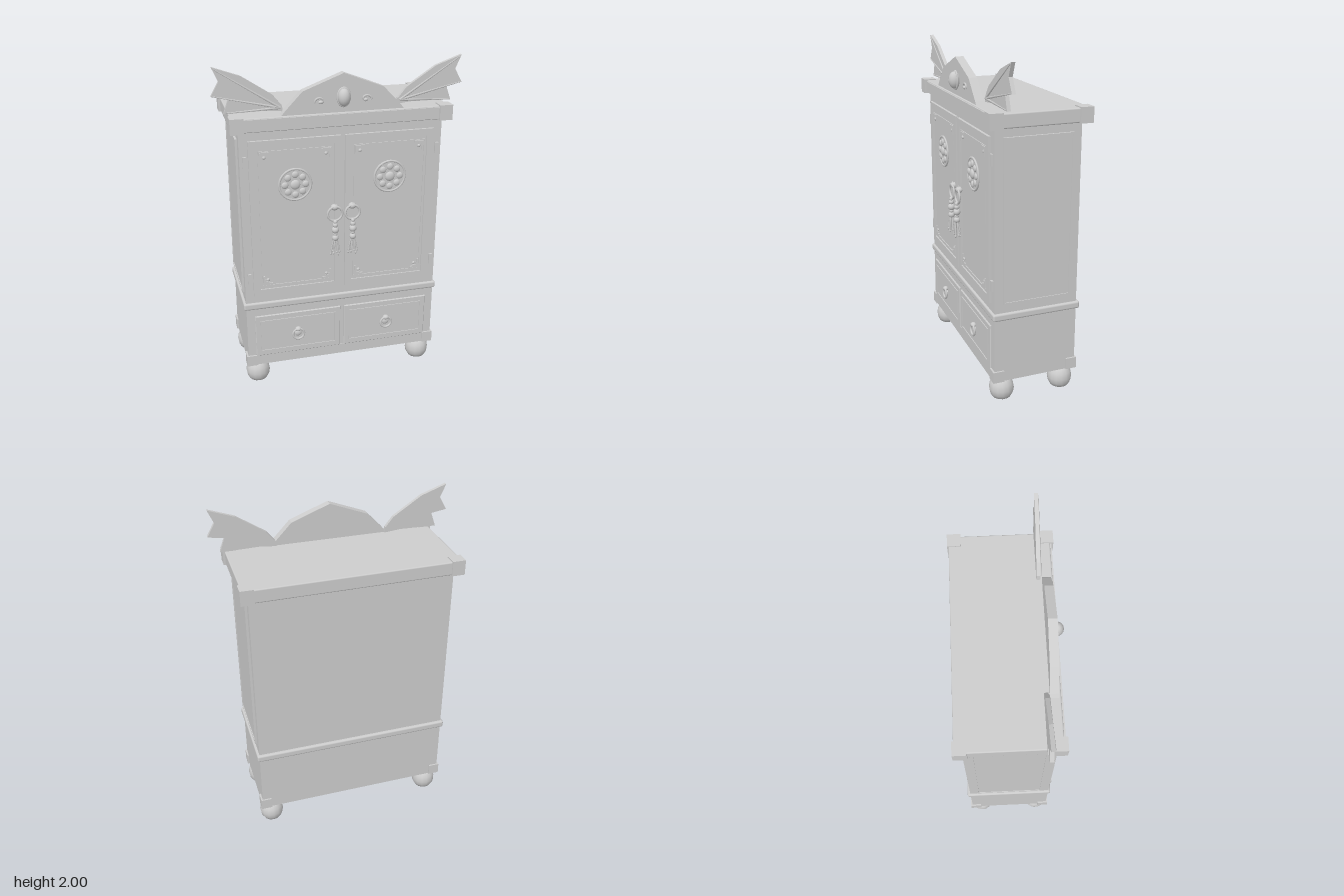
import * as THREE from 'three';
import { RoundedBoxGeometry } from 'three/addons/geometries/RoundedBoxGeometry.js';

export function createModel() {
  const root = new THREE.Group();
  root.name = 'wardrobe';
  const grey = new THREE.MeshStandardMaterial({ color: 0xcccccc });
  grey.name = 'pale grey';

  const add = (name, geo, x = 0, y = 0, z = 0) => {
    const m = new THREE.Mesh(geo, grey);
    m.name = name;
    m.position.set(x, y, z);
    root.add(m);
    return m;
  };
  // Box given by its limits on each axis; r rounds the edges
  const box = (name, x0, x1, y0, y1, z0, z1, r = 0) => {
    const s = [x1 - x0, y1 - y0, z1 - z0];
    const g = r ? new RoundedBoxGeometry(...s, 2, r) : new THREE.BoxGeometry(...s);
    return add(name, g, (x0 + x1) / 2, (y0 + y1) / 2, (z0 + z1) / 2);
  };
  const poly = pts => pts.map(p => new THREE.Vector2(p[0], p[1]));
  const rect = (w, h) => [[-w / 2, -h / 2], [w / 2, -h / 2], [w / 2, h / 2], [-w / 2, h / 2]];
  const slab = (pts, depth, hole, bevel = 0) => {
    const s = new THREE.Shape(poly(pts));
    if (hole) s.holes.push(new THREE.Path(poly(hole)));
    return new THREE.ExtrudeGeometry(s, {
      depth: depth - bevel, bevelEnabled: bevel > 0, bevelThickness: bevel,
      bevelSize: bevel, bevelOffset: -bevel, bevelSegments: 1,
    });
  };
  const frame = (name, w, h, t, depth, x, y, z) =>
    add(name, slab(rect(w, h), depth, rect(w - 2 * t, h - 2 * t)), x, y, z);
  const ball = (name, r, x, y, z, sx = 1, sy = 1, sz = 1) => {
    const m = add(name, new THREE.SphereGeometry(r, 16, 10), x, y, z);
    m.scale.set(sx, sy, sz);
    return m;
  };

  // Carcass, mouldings and cornice
  box('carcass', -0.6, 0.6, 0.13, 1.65, -0.265, 0.247);
  box('waistMoulding', -0.615, 0.615, 0.525, 0.57, -0.283, 0.26, 0.012);
  box('cornice', -0.636, 0.636, 1.643, 1.725, -0.303, 0.272, 0.008);
  box('corniceFront', -0.57, 0.57, 1.65, 1.718, 0.265, 0.28);
  box('baseRail', -0.545, 0.545, 0.132, 0.195, 0.24, 0.252);

  for (const s of [-1, 1]) {
    // Corner blocks and feet
    for (const f of [-1, 1]) {
      add('corniceCorner', new THREE.BoxGeometry(0.078, 0.09, 0.078), s * 0.609, 1.686, f > 0 ? 0.252 : -0.272);
      add('baseCorner', new THREE.BoxGeometry(0.067, 0.07, 0.068), s * 0.577, 0.165, f > 0 ? 0.224 : -0.241);
      const foot = [[0, 0], [0.056, 0], [0.07, 0.025], [0.075, 0.055], [0.069, 0.09], [0.05, 0.117], [0.025, 0.13], [0, 0.132]];
      add('foot', new THREE.LatheGeometry(poly(foot), 14), s * 0.535, 0, f > 0 ? 0.18 : -0.2);
    }

    // Side panel with a raised border
    const panel = add('sidePanel', slab(rect(0.413, 0.965), 0.008), s * 0.6, 1.108, -0.01);
    panel.rotation.y = s * Math.PI / 2;
    const border = add('sidePanelBorder', slab(rect(0.413, 0.965), 0.013, rect(0.393, 0.945)), s * 0.6, 1.108, -0.01);
    border.rotation.y = s * Math.PI / 2;

    // Door with frame and inner beading
    const cx = s * 0.281, cy = 1.105;
    add('door', slab(rect(0.538, 0.97), 0.008), cx, cy, 0.247);
    frame('doorFrame', 0.538, 0.97, 0.042, 0.016, cx, cy, 0.247);
    frame('doorBeading', 0.432, 0.846, 0.005, 0.006, cx, cy, 0.254);

    // Door corner brackets and studs
    for (const a of [-1, 1]) for (const b of [-1, 1]) {
      const ell = [[0, 0], [0.056, 0], [0.056, 0.011], [0.035, 0.011], [0.035, 0.02], [0.016, 0.02],
        [0.016, 0.036], [0.01, 0.036], [0.01, 0.058], [0, 0.058]];
      add('cornerBracket', slab(ell.map(p => [-a * p[0], -b * p[1]]), 0.009), cx + a * 0.208, cy + b * 0.416, 0.254);
      ball('cornerStud', 0.01, cx + a * 0.18, cy + b * 0.384, 0.256, 1, 1, 0.7);
    }

    // Rosette
    const ry = 1.315;
    const disc = add('rosetteDisc', new THREE.CylinderGeometry(0.088, 0.09, 0.008, 32), s * 0.285, ry, 0.257);
    disc.rotation.x = Math.PI / 2;
    add('rosetteRim', new THREE.TorusGeometry(0.094, 0.007, 8, 36), s * 0.285, ry, 0.258);
    ball('rosetteCentre', 0.029, s * 0.285, ry, 0.262, 1, 1, 0.5);
    for (let i = 0; i < 8; i++) {
      const t = i * Math.PI / 4;
      ball('rosettePetal', 0.02, s * 0.285 + 0.061 * Math.cos(t), ry + 0.061 * Math.sin(t), 0.262, 1, 1, 0.5);
    }

    // Hinges
    for (const y of [1.467, 0.735]) box('hinge', s * 0.572 - 0.01, s * 0.572 + 0.01, y - 0.033, y + 0.033, 0.245, 0.259);

    // Door pull: ring, mount and tassel
    const hx = s * 0.054;
    add('pullRing', new THREE.TorusGeometry(0.044, 0.007, 8, 28), hx, 1.117, 0.28);
    ball('pullMount', 0.024, hx, 1.155, 0.268, 1, 0.8, 0.9);
    const cap = add('pullCap', new THREE.ConeGeometry(0.018, 0.022, 10), hx, 1.17, 0.274);
    cap.scale.z = 0.6;
    for (const [r, y] of [[0.012, 1.068], [0.016, 1.047], [0.022, 1.016], [0.013, 0.99], [0.02, 0.965]])
      ball('tasselBead', r, hx, y, 0.286);
    for (let i = 0; i < 6; i++) {
      const t = i * Math.PI / 3, c = Math.cos(t), d = Math.sin(t);
      const end = new THREE.Vector3(c * 0.027, i % 2 ? -0.092 : -0.082, d * 0.018);
      const path = new THREE.QuadraticBezierCurve3(new THREE.Vector3(c * 0.008, 0, d * 0.008),
        new THREE.Vector3(c * 0.021, -0.035, d * 0.016), end);
      add('tasselStrand', new THREE.TubeGeometry(path, 6, 0.0045, 6), hx, 0.955, 0.286);
      ball('strandTip', 0.007, hx + end.x, 0.955 + end.y, 0.286 + end.z, 0.8, 1.3, 0.8);
    }

    // Drawer with beading and ring knob
    add('drawer', slab(rect(0.538, 0.28), 0.009, null, 0.004), cx, 0.335, 0.247);
    frame('drawerBeading', 0.474, 0.212, 0.005, 0.007, cx, 0.335, 0.254);
    add('drawerRing', new THREE.TorusGeometry(0.035, 0.007, 8, 24), s * 0.285, 0.328, 0.272);
    ball('drawerRingMount', 0.02, s * 0.285, 0.36, 0.266, 1, 0.75, 0.9);
    ball('drawerBoss', 0.022, s * 0.285, 0.328, 0.257, 1, 1, 0.5);

    // Wing with ribs fanning from its root
    const wing = [[0.335, 1.735], [0.34, 1.768], [0.39, 1.83], [0.565, 1.945], [0.72, 2], [0.685, 1.92],
      [0.73, 1.84], [0.635, 1.825], [0.665, 1.74], [0.435, 1.745]];
    add('wing', slab(wing.map(p => [s * p[0], p[1]]), 0.022), 0, 0, 0.18);
    const foot = new THREE.Vector3(s * 0.35, 1.757, 0.202);
    for (const [x, y] of [[0.712, 1.992], [0.722, 1.842], [0.655, 1.745]]) {
      const tip = new THREE.Vector3(s * x, y, 0.202), dir = tip.clone().sub(foot);
      const rib = add('wingRib', new THREE.CylinderGeometry(0.003, 0.008, dir.length(), 6));
      rib.position.copy(foot).addScaledVector(dir, 0.5);
      rib.quaternion.setFromUnitVectors(new THREE.Vector3(0, 1, 0), dir.normalize());
    }

    // Pediment scroll
    const curl = [];
    for (let i = 0; i <= 12; i++) {
      const t = Math.PI * (1.15 - i * 0.145), r = 0.03 - i * 0.0014;
      curl.push(new THREE.Vector3(-s * r * Math.cos(t), r * 0.75 * Math.sin(t), 0));
    }
    add('scroll', new THREE.TubeGeometry(new THREE.CatmullRomCurve3(curl), 24, 0.006, 6), s * 0.135, 1.792, 0.252);
    ball('scrollBud', 0.011, s * 0.13, 1.785, 0.252, 1.3, 0.9, 0.8);
  }

  // Pediment: back board, raised border and oval boss
  const gable = [[-0.36, 1.72], [-0.34, 1.745], [-0.235, 1.855], [0, 1.945], [0.235, 1.855], [0.34, 1.745], [0.36, 1.72]];
  const inner = [[-0.29, 1.745], [-0.205, 1.822], [0, 1.9], [0.205, 1.822], [0.29, 1.745]];
  add('pedimentBoard', slab(gable, 0.036), 0, 0, 0.212);
  add('pedimentBorder', slab(gable, 0.05, inner), 0, 0, 0.212);
  const rim = add('ovalRim', new THREE.TorusGeometry(0.036, 0.006, 8, 28), 0, 1.81, 0.262);
  rim.scale.y = 1.4;
  ball('ovalBoss', 0.036, 0, 1.81, 0.268, 1, 1.42, 1);

  return root;
}
